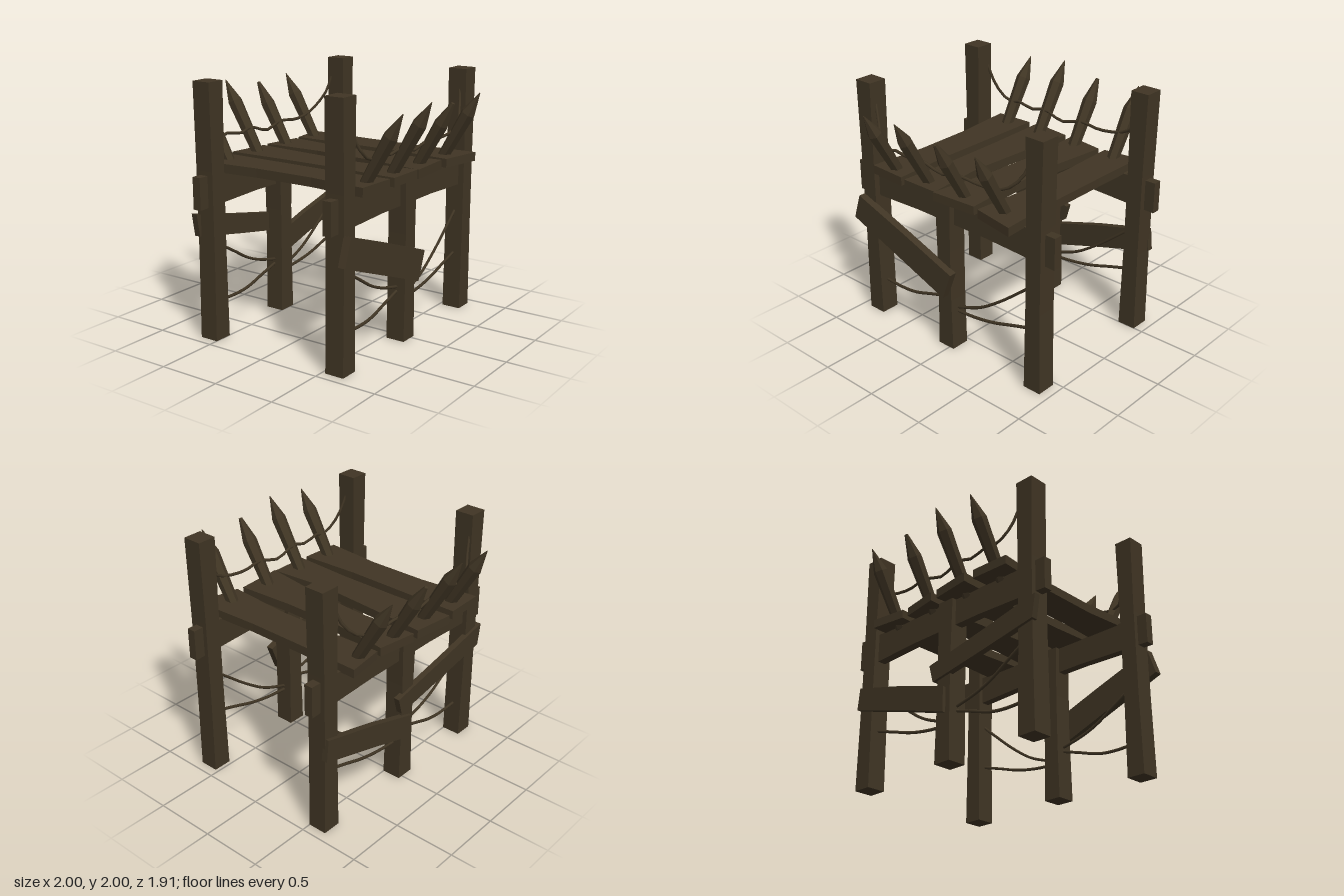
import * as THREE from 'three';

export function createModel() {
  const group = new THREE.Group();
  const wood = new THREE.MeshStandardMaterial({ color: 0x403524 });
  wood.name = 'dark wood';

  const add = (name, geometry) => {
    const mesh = new THREE.Mesh(geometry, wood);
    mesh.name = name;
    group.add(mesh);
    return mesh;
  };

  // Flat board cut from an outline, with its thickness along z
  const board = (points, depth) => new THREE.ExtrudeGeometry(
    new THREE.Shape(points.map(([x, y]) => new THREE.Vector2(x, y))),
    { depth, bevelEnabled: false });

  // Hewn post, slightly slimmer at mid height
  const post = (name, x, z, height) => {
    const geo = new THREE.BoxGeometry(0.152, height, 0.155, 1, 3, 1).toNonIndexed();
    const pos = geo.attributes.position;
    for (let i = 0; i < pos.count; i++) {
      const inner = Math.abs(pos.getY(i)) < height * 0.4;
      if (inner) pos.setX(i, pos.getX(i) * 0.88);
    }
    geo.computeVertexNormals();
    add(name, geo).position.set(x, height / 2, z);
  };

  // Rope through a few points
  const rope = (name, points) => add(name, new THREE.TubeGeometry(
    new THREE.CatmullRomCurve3(points.map(p => new THREE.Vector3(...p))), 24, 0.012, 6));

  const spikes = [[-0.57, 0.68], [-0.22, 0.72], [0.15, 0.65], [0.54, 0.68]];
  const railRope = [[-0.79, 1.84, 0.62], [-0.73, 1.67, 0.65], [-0.67, 1.56, 0.69],
    [-0.59, 1.52, 0.7], [-0.5, 1.54, 0.7], [-0.35, 1.515, 0.69], [-0.22, 1.54, 0.7],
    [-0.03, 1.49, 0.69], [0.16, 1.535, 0.7], [0.35, 1.52, 0.69], [0.54, 1.545, 0.7],
    [0.65, 1.6, 0.69], [0.74, 1.71, 0.65], [0.79, 1.86, 0.62]];
  const lowRopes = [
    [[-0.84, 0.77], [-0.6, 0.63], [-0.45, 0.54], [-0.3, 0.48], [-0.05, 0.42]],
    [[-0.84, 0.285], [-0.6, 0.275], [-0.45, 0.29], [-0.25, 0.35], [-0.05, 0.41]],
    [[-0.02, 0.31], [0.2, 0.325], [0.4, 0.36], [0.6, 0.42], [0.84, 0.49]],
    [[-0.02, 0.33], [0.25, 0.43], [0.45, 0.56], [0.65, 0.72], [0.84, 0.88]]];

  for (const [side, s, z] of [['front', 1, 0.607], ['back', -1, -0.575]]) {
    post(side + 'LeftPost', 0.847, z, 2);
    post(side + 'RightPost', -0.847, z, 2);
    post(side + 'MiddlePost', -0.035, z, 1.29);

    // Cross beam with a slightly arched underside
    add(side + 'Beam', board([[-1, 1.05], [-0.35, 1.075], [0.35, 1.075], [1, 1.05],
      [1, 1.3], [0.35, 1.29], [-0.35, 1.29], [-1, 1.3]], 0.07))
      .position.z = z - 0.04;

    // Sharpened stakes leaning outward
    for (const [x, length] of spikes) {
      const tip = 0.19, body = length - tip;
      const stake = new THREE.Group();
      stake.name = side + 'Stake';
      const shaft = new THREE.Mesh(
        new THREE.CylinderGeometry(0.058, 0.045, body, 6).toNonIndexed(), wood);
      shaft.geometry.computeVertexNormals();
      shaft.name = 'stakeShaft';
      shaft.position.y = body / 2;
      const point = new THREE.Mesh(
        new THREE.CylinderGeometry(x === 0.15 ? 0.014 : 0.003, 0.058, tip, 6).toNonIndexed(), wood);
      point.geometry.computeVertexNormals();
      point.name = 'stakePoint';
      point.position.y = body + tip / 2;
      stake.add(shaft, point);
      stake.position.set(x, 1.275, s * 0.59);
      stake.rotation.x = s * Math.PI / 6;
      group.add(stake);
    }

    // Ropes strung between the posts
    rope(side + 'RailRope', railRope.map(([x, y, rz]) => [x, y, s * rz]));
    for (const path of lowRopes) rope(side + 'LowerRope', path.map(([x, y]) => [x, y, z]));
  }

  // Deck planks, outlined as x and z
  const deck = [
    [[-0.75, -0.745], [-0.43, -0.755], [-0.435, -0.25], [-0.44, 0.25],
      [-0.415, 0.735], [-0.74, 0.72], [-0.7, 0.25], [-0.705, -0.25]],
    [[-0.36, -0.775], [-0.02, -0.735], [-0.06, -0.25], [-0.095, 0.25],
      [-0.05, 0.745], [-0.37, 0.745], [-0.345, 0.25], [-0.345, -0.25]],
    [[0.035, -0.74], [0.355, -0.69], [0.305, -0.25], [0.3, 0.25],
      [0.33, 0.73], [-0.055, 0.755], [0.02, 0.25], [0.055, -0.25]],
    [[0.405, -0.7], [0.705, -0.74], [0.7, -0.25], [0.7, 0.25],
      [0.73, 0.81], [0.38, 0.745], [0.42, 0.25], [0.42, -0.25]]];
  for (const outline of deck) {
    const geo = board(outline.map(([x, z]) => [x, -z]), 0.07);
    geo.rotateX(-Math.PI / 2);
    add('deckPlank', geo).position.y = 1.287;
  }

  // Slanted boards nailed across the posts
  add('frontBrace', board([[-0.98, 0.84], [0, 0.475], [0.085, 0.7], [-0.4, 0.875],
    [-0.91, 1.05]], 0.062)).position.z = 0.68;
  add('backRightBrace', board([[-0.93, 0.82], [-0.45, 0.73], [0.06, 0.64], [0.1, 0.78],
    [-0.45, 0.89], [-0.96, 1]], 0.05)).position.z = -0.675;
  add('backLeftBrace', board([[-0.06, 0.37], [0.4, 0.51], [0.925, 0.66], [0.905, 0.84],
    [0.4, 0.71], [-0.06, 0.57]], 0.05)).position.z = -0.68;

  return group;
}
